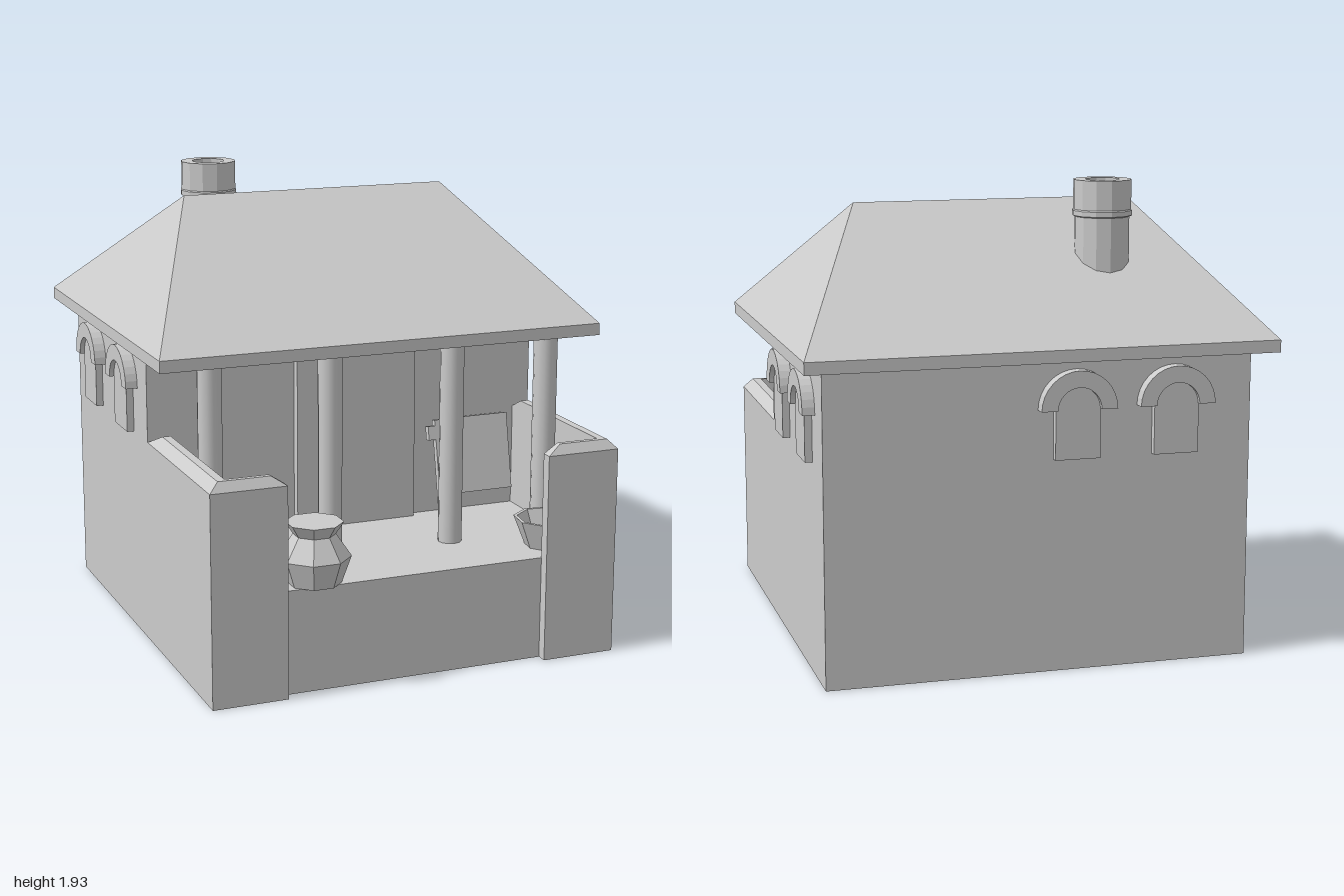
import * as THREE from 'three';

const flat = new THREE.MeshStandardMaterial({ color: 0xcccccc, flatShading: true, side: THREE.DoubleSide });
const smooth = new THREE.MeshStandardMaterial({ color: 0xcccccc, side: THREE.DoubleSide });

function add(parent, name, geometry, x = 0, y = 0, z = 0, material = flat) {
  const mesh = new THREE.Mesh(geometry, material);
  mesh.name = name;
  mesh.position.set(x, y, z);
  parent.add(mesh);
  return mesh;
}

// Joins outlines [x, z] stacked at heights; ends may be capped or left open.
function loft(levels, capBottom, capTop) {
  const pos = [], index = [], n = levels[0].ring.length;
  levels.forEach(({ y, ring }) => ring.forEach(([x, z]) => pos.push(x, y, z)));
  for (let k = 0; k < levels.length - 1; k++) {
    for (let i = 0; i < n; i++) {
      const a = k * n + i, b = k * n + (i + 1) % n;
      index.push(a, b, b + n, a, b + n, a + n);
    }
  }
  const cap = (k, flip) => {
    const contour = levels[k].ring.map(([x, z]) => new THREE.Vector2(x, -z));
    THREE.ShapeUtils.triangulateShape(contour, []).forEach(([a, b, c]) => {
      const o = k * n;
      index.push(o + a, o + (flip ? c : b), o + (flip ? b : c));
    });
  };
  if (capBottom) cap(0, true);
  if (capTop) cap(levels.length - 1, false);
  const g = new THREE.BufferGeometry();
  g.setAttribute('position', new THREE.Float32BufferAttribute(pos, 3));
  g.setIndex(index);
  const out = g.toNonIndexed();
  out.computeVertexNormals();
  return out;
}

const rect = (x, back, front) => [[-x, front], [x, front], [x, back], [-x, back]];
const lathe = (points, sides, phase = 0) =>
  new THREE.LatheGeometry(points.map(([r, y]) => new THREE.Vector2(r, y)), sides, phase);

// Blind window: rounded pane under a projecting half-ring hood, facing +z.
function windowUnit() {
  const unit = new THREE.Group();
  unit.name = 'window';
  const pane = new THREE.Shape();
  pane.moveTo(-0.093, 0.87);
  pane.lineTo(0.093, 0.87);
  pane.lineTo(0.093, 1.07);
  pane.absarc(0, 1.07, 0.093, 0, Math.PI, false);
  const hood = new THREE.Shape();
  hood.absarc(0, 1.07, 0.157, 0, Math.PI, false);
  hood.absarc(0, 1.07, 0.09, Math.PI, 0, true);
  const extrude = (shape, depth) =>
    new THREE.ExtrudeGeometry(shape, { depth, bevelEnabled: false, curveSegments: 8 });
  add(unit, 'windowPane', extrude(pane, 0.03));
  add(unit, 'windowHood', extrude(hood, 0.05));
  return unit;
}

export function createModel() {
  const model = new THREE.Group();
  model.name = 'house';

  // House walls and raised porch, both open underneath
  const house = rect(0.875, -0.9, 0.16);
  add(model, 'houseWalls', loft([{ y: 0, ring: house }, { y: 1.27, ring: house }], false, true));
  const porch = rect(0.84, 0.1, 0.92);
  add(model, 'porchFloor', loft([{ y: 0, ring: porch }, { y: 0.43, ring: porch }], false, true));
  add(model, 'door', new THREE.BoxGeometry(0.54, 0.82, 0.04), 0.04, 0.84, 0.18);

  // Hipped roof with a thin eave
  const eave = rect(0.96, -1, 0.63);
  add(model, 'roof', loft([
    { y: 1.27, ring: eave }, { y: 1.32, ring: eave }, { y: 1.83, ring: rect(0.59, -0.187, -0.183) },
  ], true, true));

  // L-shaped porch walls with bevelled tops
  const base = [[-0.875, 0.16], [-0.875, 0.965], [-0.56, 0.965], [-0.56, 0.918], [-0.8, 0.918], [-0.8, 0.16]];
  const top = [[-0.835, 0.24], [-0.835, 0.94], [-0.62, 0.94], [-0.62, 0.918], [-0.8, 0.918], [-0.8, 0.24]];
  const mirror = (ring) => ring.map(([x, z]) => [-x, z]).reverse();
  [['rightPorchWall', (r) => r], ['leftPorchWall', mirror]].forEach(([name, side]) => {
    add(model, name, loft([
      { y: 0, ring: side(base) }, { y: 0.87, ring: side(base) }, { y: 0.91, ring: side(top) },
    ], true, true));
  });

  // Porch columns run through the floor to the ground
  [-0.74, -0.23, 0.31, 0.74].forEach((x) =>
    add(model, 'column', new THREE.CylinderGeometry(0.05, 0.05, 1.27, 12), x, 0.635, 0.57, smooth));

  // Windows: two on each side, two off-centre at the back
  [
    [0.875, -0.128, 1], [0.875, -0.605, 1], [-0.875, -0.128, -1], [-0.875, -0.605, -1],
    [-0.14, -0.9, 2], [-0.55, -0.9, 2],
  ].forEach(([x, z, turn]) => {
    const unit = windowUnit();
    unit.position.set(x, 0, z);
    unit.rotation.y = turn * Math.PI / 2;
    model.add(unit);
  });

  // Hollow chimney with a raised band
  add(model, 'chimney', lathe([
    [0.113, 1.45], [0.113, 1.78], [0.124, 1.785], [0.124, 1.805], [0.12, 1.81],
    [0.12, 1.93], [0.07, 1.93], [0.07, 1.6], [0, 1.6],
  ], 12), -0.375, 0, -0.505);

  // Closed jar and open tub
  add(model, 'jar', lathe([
    [0, 0.43], [0.108, 0.43], [0.147, 0.54], [0.085, 0.63], [0.117, 0.68], [0, 0.68],
  ], 8, Math.PI / 8), -0.41, 0, 0.855);
  add(model, 'tub', lathe([
    [0, 0.43], [0.095, 0.43], [0.143, 0.55], [0.128, 0.55], [0.085, 0.45], [0, 0.45],
  ], 8, 0.25), 0.665, 0, 0.77);

  // Board and notched pole leaning on the house wall
  const board = add(model, 'leaningBoard', new THREE.BoxGeometry(0.3, 0.33, 0.03), 0.6, 0.69, 0.22);
  board.rotation.x = -0.2;
  const pole = new THREE.Group();
  pole.name = 'leaningPole';
  pole.position.set(0.41, 0.43, 0.3);
  pole.rotation.x = -0.2;
  add(pole, 'poleShaft', new THREE.BoxGeometry(0.035, 0.43, 0.03), 0, 0.22, 0);
  add(pole, 'poleHead', new THREE.BoxGeometry(0.08, 0.06, 0.03), -0.01, 0.38, 0);
  model.add(pole);

  return model;
}
